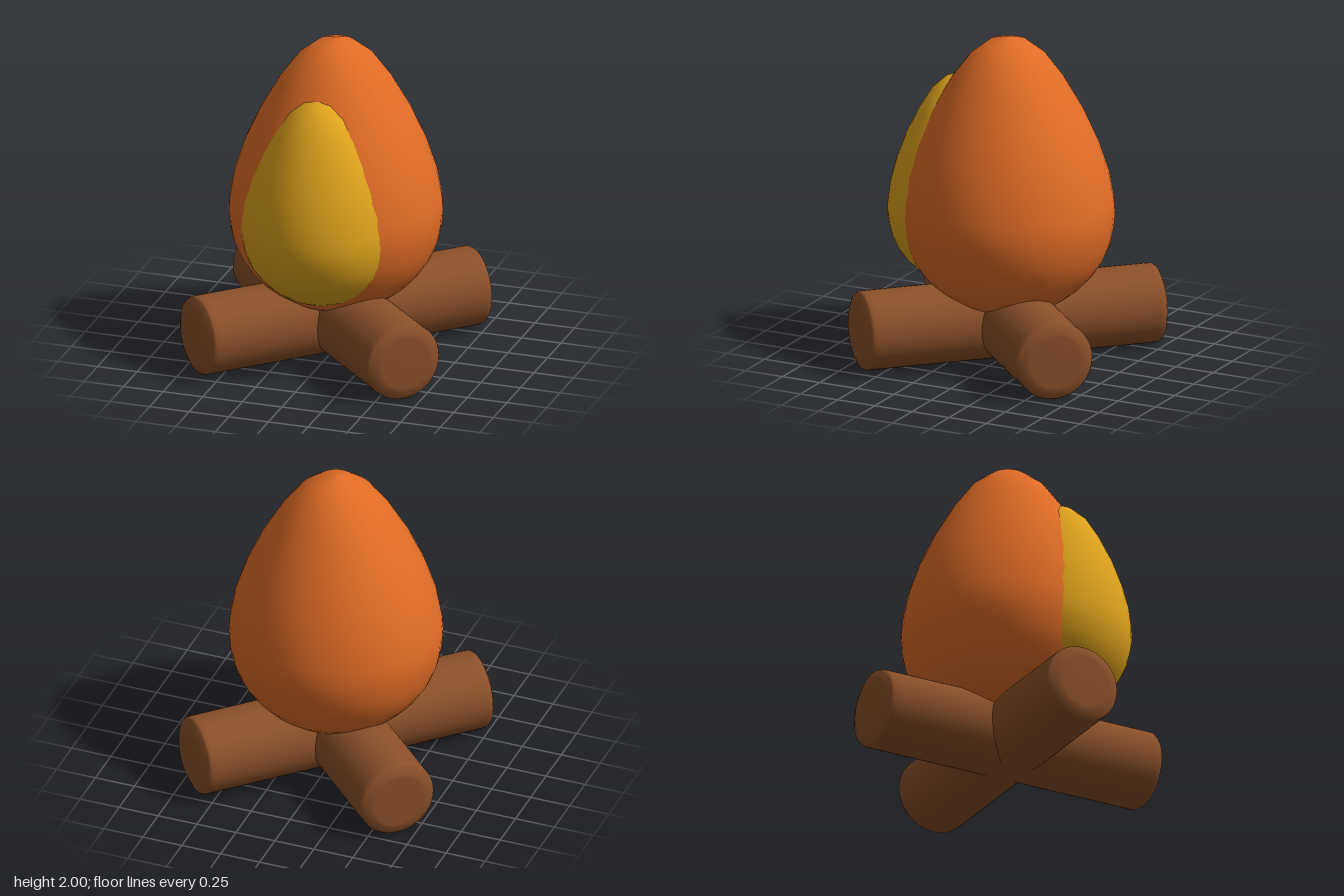
import * as THREE from 'three';

const material = (color) => new THREE.MeshStandardMaterial({ color });

// Egg-shaped flame outline (radius, height from the widest level), bottom to top
const FLAME = [
  [0, -0.63], [0.12, -0.615], [0.24, -0.58], [0.35, -0.52], [0.44, -0.45], [0.515, -0.37],
  [0.575, -0.28], [0.615, -0.18], [0.635, -0.08], [0.642, 0], [0.635, 0.09], [0.605, 0.25],
  [0.545, 0.43], [0.455, 0.63], [0.34, 0.83], [0.23, 0.98], [0.115, 1.07], [0, 1.1],
];

function lathe(name, points, segments, mat) {
  const profile = points.map(([r, y]) => new THREE.Vector2(r, y));
  const mesh = new THREE.Mesh(new THREE.LatheGeometry(profile, segments), mat);
  mesh.name = name;
  return mesh;
}

export function createModel() {
  const model = new THREE.Group();
  model.name = 'campfire';

  // Outer flame
  const outer = lathe('outerFlame', FLAME, 48, material(0xe06c26));
  outer.position.y = 0.9;
  model.add(outer);

  // Inner flame, smaller, pushed through the front and leaning slightly forward
  const inner = lathe('innerFlame', FLAME, 48, material(0xdfa31c));
  inner.scale.set(0.75, 0.765, 0.75);
  inner.position.set(0, 0.885, 0.27);
  inner.rotation.x = 0.065;
  model.add(inner);

  // Two crossed logs with softly chamfered ends
  const wood = material(0x8b5029);
  const half = [[0.24, 0.88], [0.239, 0.91], [0.23, 0.925], [0.185, 0.945], [0.16, 0.948], [0, 0.95]];
  const logProfile = [...half.map(([r, y]) => [r, -y]).reverse(), ...half];
  for (const side of [1, -1]) {
    const log = lathe(side > 0 ? 'logA' : 'logB', logProfile, 40, wood);
    log.rotation.set(0, side * Math.PI / 4, Math.PI / 2);
    log.rotation.order = 'YXZ';
    log.position.y = 0.24;
    model.add(log);
  }
  return model;
}
